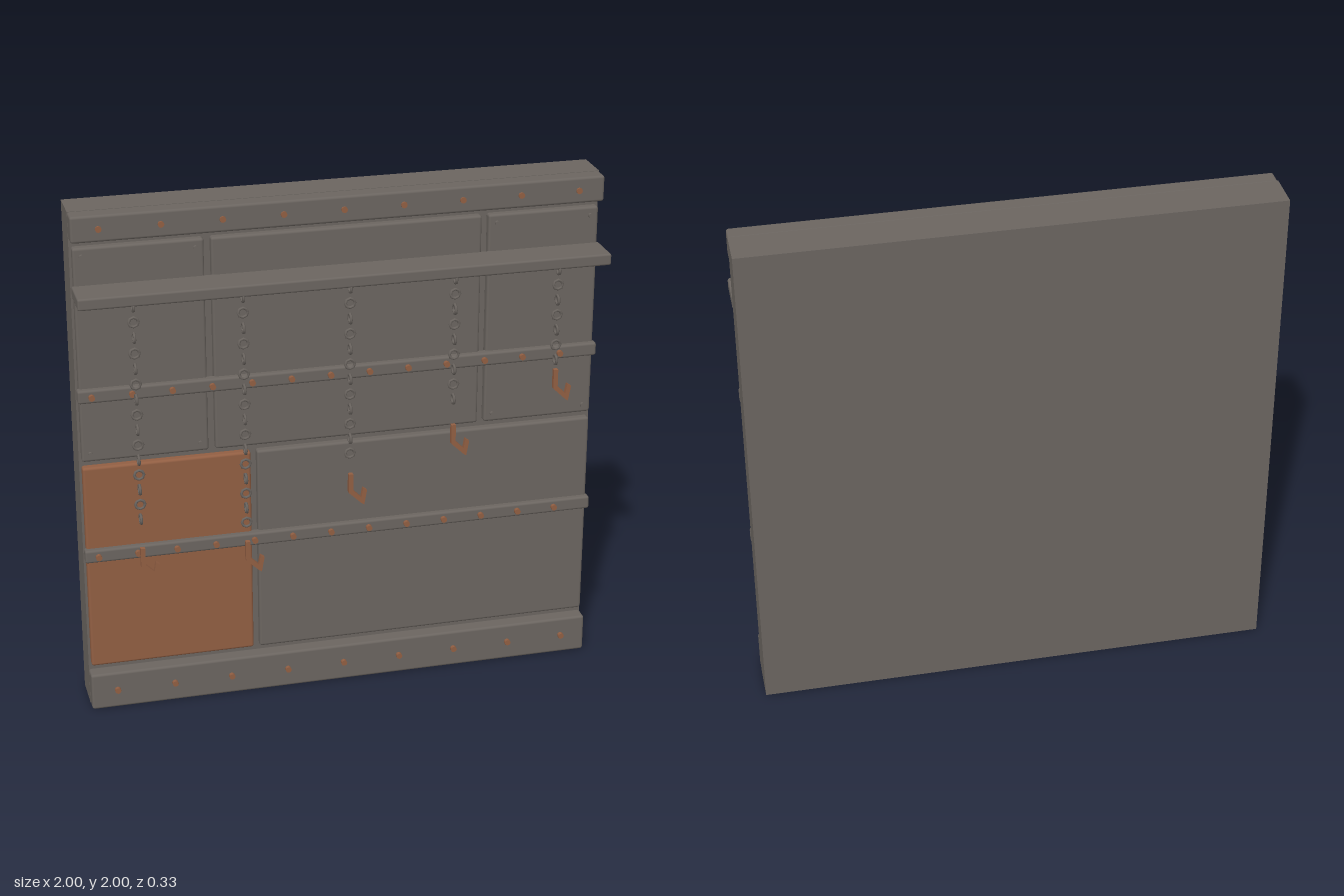
import * as THREE from 'three';
import { RoundedBoxGeometry } from 'three/addons/geometries/RoundedBoxGeometry.js';

const steel = new THREE.MeshStandardMaterial({ color: 0x6b6560 });
steel.name = 'steel';
const rust = new THREE.MeshStandardMaterial({ color: 0x925f43 });
rust.name = 'rustedCopper';

export function createModel() {
  const root = new THREE.Group();
  root.name = 'wallPanel';

  const add = (name, geometry, material, x, y, z) => {
    const mesh = new THREE.Mesh(geometry, material);
    mesh.name = name;
    mesh.position.set(x, y, z);
    root.add(mesh);
    return mesh;
  };

  // Box with softened edges, given by its limits
  const slab = (name, x0, x1, y0, y1, z0, z1, material = steel, radius = 0.01) =>
    add(name, new RoundedBoxGeometry(x1 - x0, y1 - y0, z1 - z0, 2, radius), material,
      (x0 + x1) / 2, (y0 + y1) / 2, (z0 + z1) / 2);

  // Wall core
  add('wall', new THREE.BoxGeometry(2, 2, 0.147), steel, 0, 1, -0.0885);

  // Raised plates
  slab('upperLeftPlate', 0.562, 0.992, 1.037, 1.872, -0.018, 0.02);
  slab('upperMiddlePlate', -0.488, 0.536, 1.037, 1.872, -0.018, 0.02);
  slab('upperRightPlate', -0.992, -0.514, 1.037, 1.872, -0.018, 0.02);
  slab('lowerLeftPlate', -0.33, 0.992, 0.177, 1.012, -0.018, 0.02);
  slab('rustedPlate', -0.992, -0.354, 0.177, 1.012, -0.018, 0.02, rust);

  // Top and bottom beams, shelf and rails
  slab('topBeam', -1, 1, 1.9, 2, -0.02, 0.052);
  slab('bottomBeam', -1, 1, 0, 0.15, -0.02, 0.045);
  slab('shelf', -1, 1, 1.685, 1.73, 0.01, 0.16, steel, 0.008);
  const railHeights = [1.305, 0.655];
  railHeights.forEach(y => slab('rail', -1, 1, y - 0.026, y + 0.026, 0.003, 0.043, steel, 0.009));

  // Rivets
  const rivetGeometry = new THREE.CylinderGeometry(0.012, 0.012, 0.03, 8);
  rivetGeometry.rotateX(Math.PI / 2);
  const rivet = (x, y, tip, material = rust) => add('rivet', rivetGeometry, material, x, y, tip - 0.015);
  for (let i = 0; i < 9; i++) {
    const x = -0.9 + i * 0.225;
    rivet(x, 1.95, 0.06);
    rivet(x, 0.078, 0.06);
  }
  for (const y of railHeights) {
    for (let i = 0; i < 13; i++) rivet(-0.95 + i * 0.15, y, 0.058);
  }
  for (const y of [1.07, 1.84]) {
    for (const x of [-0.96, -0.546, 0.594, 0.96]) {
      rivet(x, y, 0.03, steel).scale.set(0.75, 0.75, 1);
    }
  }

  // Hook outline, hanging from its top edge
  const hookShape = new THREE.Shape([
    [-0.006, 0], [0.011, 0], [0.011, -0.068], [0.043, -0.1], [0.05, -0.062],
    [0.065, -0.072], [0.054, -0.13], [0.044, -0.124], [-0.006, -0.076],
  ].map(([x, y]) => new THREE.Vector2(x, y)));
  const hookGeometry = new THREE.ExtrudeGeometry(hookShape, { depth: 0.018, bevelEnabled: false });
  hookGeometry.translate(0, 0, -0.009);

  // Chains of alternating links, each with a hook below: x, link count, hook top
  const linkGeometry = new THREE.TorusGeometry(0.018, 0.0055, 6, 8);
  const chains = [
    [-0.8, 15, 0.72], [-0.4, 16, 0.7], [0, 12, 0.935], [0.4, 9, 1.095], [0.8, 7, 1.28],
  ];
  for (const [x, count, hookTop] of chains) {
    for (let i = 0; i < count; i++) {
      const link = add('chainLink', linkGeometry, steel, x, 1.68 - i * 0.06, 0.14);
      if (i % 2 === 0) link.rotation.y = Math.PI / 2;
    }
    add('hook', hookGeometry, rust, x, hookTop, 0.14);
  }

  return root;
}
